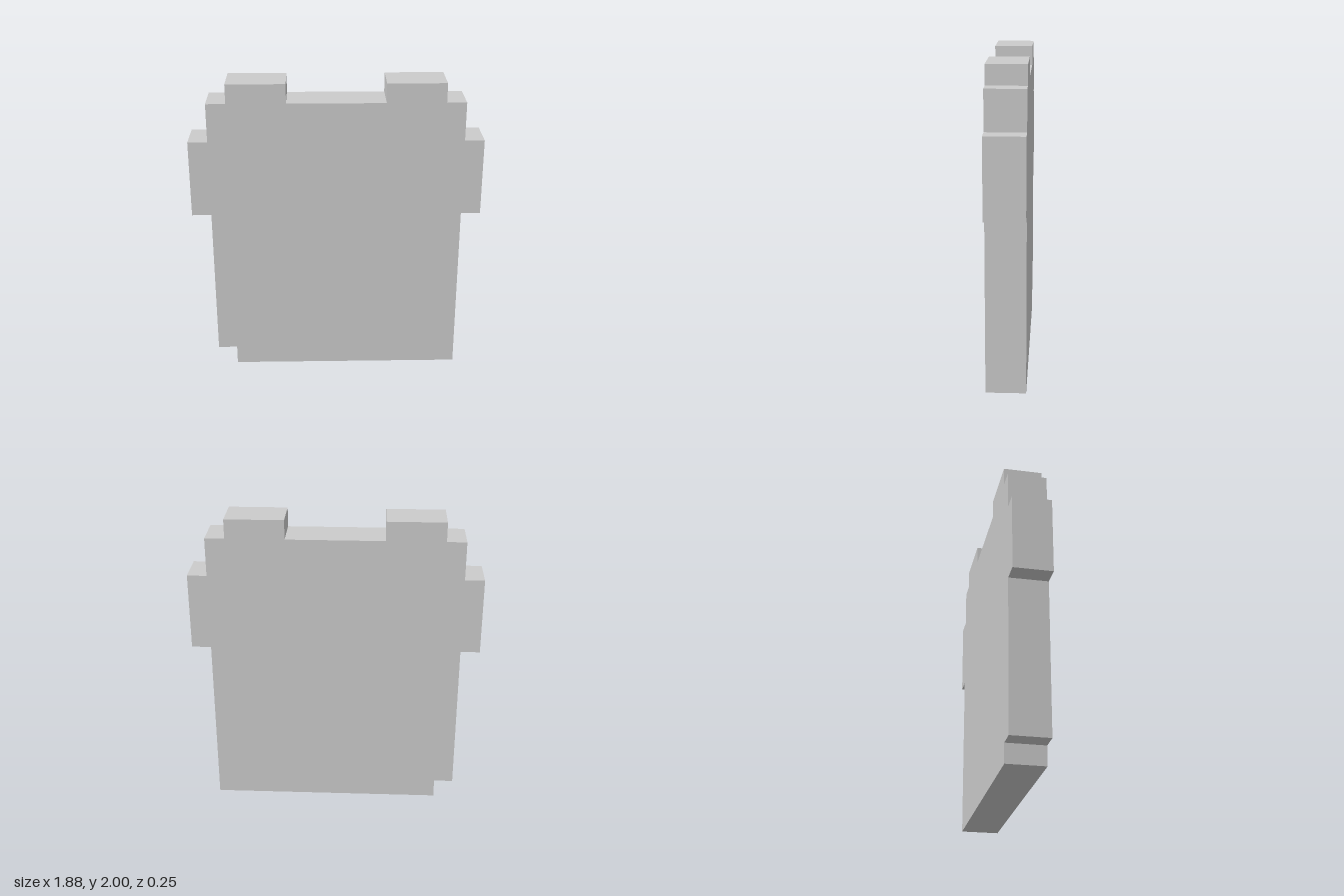
import * as THREE from 'three';

const U = 0.125; // one pixel of the stepped outline
const THICKNESS = 2 * U;

// Outline in pixels, counter-clockwise from the lower right corner
const OUTLINE = [
  // right-hand edge with its side tab
  [6.5, 0], [6.5, 9], [7.5, 9], [7.5, 13], [6.5, 13], [6.5, 15],
  // two raised top tabs
  [5.5, 15], [5.5, 16], [2.5, 16], [2.5, 15],
  [-2.5, 15], [-2.5, 16], [-5.5, 16], [-5.5, 15], [-6.5, 15],
  // left-hand edge with its side tab and the notched bottom corner
  [-6.5, 13], [-7.5, 13], [-7.5, 9], [-6.5, 9], [-6.5, 1], [-5.5, 1], [-5.5, 0],
];

export function createModel() {
  const group = new THREE.Group();
  group.name = 'pixelPlaque';

  // Flat slab cut to the stepped outline
  const shape = new THREE.Shape(OUTLINE.map(([x, y]) => new THREE.Vector2(x * U, y * U)));
  const geometry = new THREE.ExtrudeGeometry(shape, { depth: THICKNESS, bevelEnabled: false });
  geometry.translate(0, 0, -THICKNESS / 2);

  const slab = new THREE.Mesh(
    geometry,
    new THREE.MeshStandardMaterial({ color: 0xcccccc, flatShading: true })
  );
  slab.name = 'steppedSlab';
  group.add(slab);
  return group;
}
